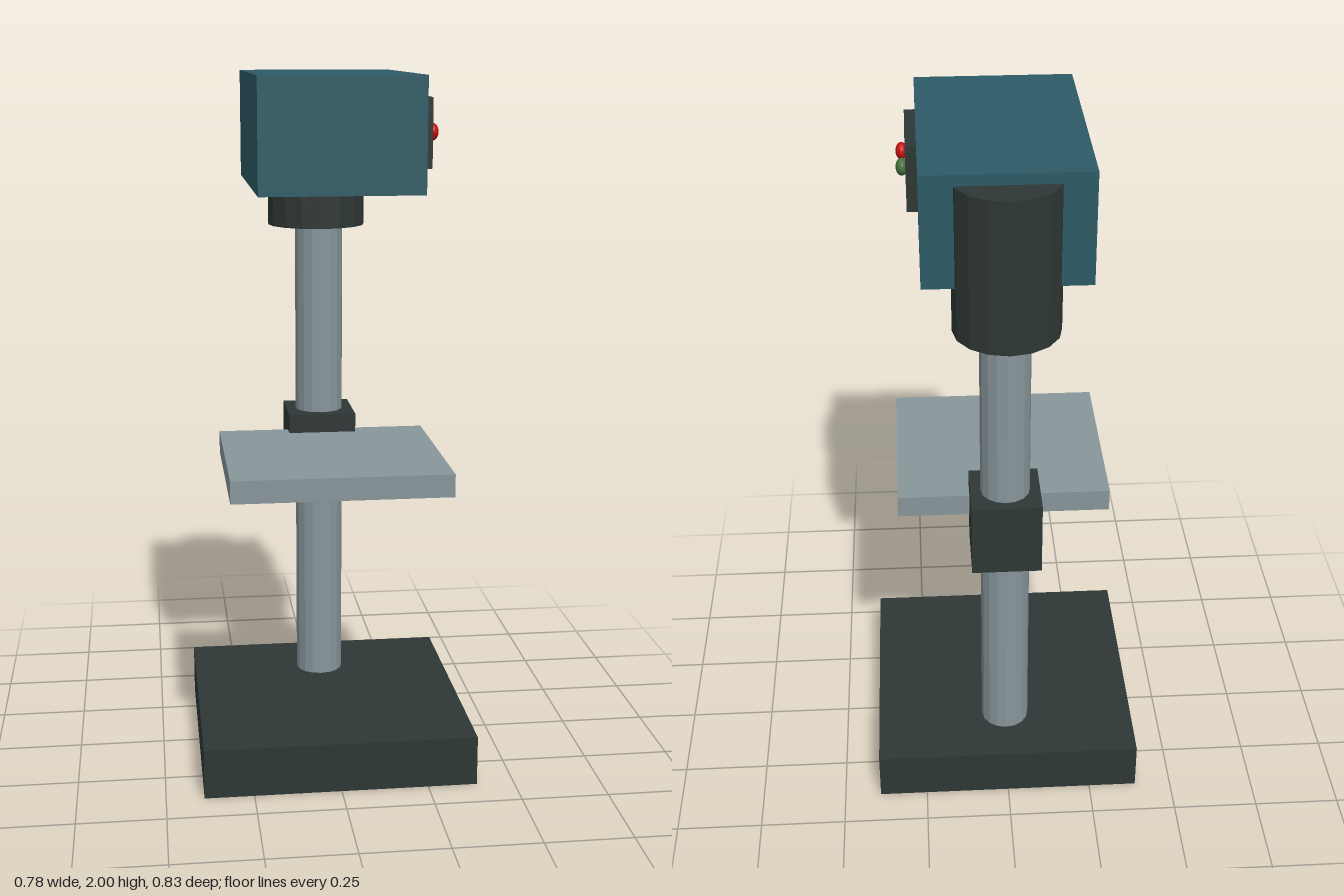
import * as THREE from 'three';

const material = (name, color, flatShading = false) => {
  const m = new THREE.MeshStandardMaterial({ color, flatShading });
  m.name = name;
  return m;
};

export function createModel() {
  const model = new THREE.Group();
  model.name = 'drillPress';

  const castIron = material('castIron', 0x2e3735, true);
  const steel = material('steel', 0x87959a, true);
  const teal = material('tealPaint', 0x2d5b66, true);
  const red = material('redButton', 0xc81010);
  const green = material('greenButton', 0x44703c);

  const add = (name, geometry, mat, x, y, z) => {
    const mesh = new THREE.Mesh(geometry, mat);
    mesh.name = name;
    mesh.position.set(x, y, z);
    model.add(mesh);
    return mesh;
  };

  // Box given by its lower and upper corners
  const box = (name, mat, [x0, y0, z0], [x1, y1, z1]) =>
    add(name, new THREE.BoxGeometry(x1 - x0, y1 - y0, z1 - z0), mat,
      (x0 + x1) / 2, (y0 + y1) / 2, (z0 + z1) / 2);

  // Upright cylinder from y0 to y1
  const post = (name, mat, radius, y0, y1, z) =>
    add(name, new THREE.CylinderGeometry(radius, radius, y1 - y0, 16), mat, 0, (y0 + y1) / 2, z);

  // Stand
  box('base', castIron, [-0.392, 0, -0.392], [0.392, 0.145, 0.392]);
  post('column', steel, 0.071, 0.14, 1.6, -0.2);

  // Work table and the collar that clamps it to the column
  box('tableCollar', castIron, [-0.1, 0.77, -0.3], [0.1, 0.99, -0.1]);
  box('workTable', steel, [-0.308, 0.87, -0.148], [0.308, 0.935, 0.412]);

  // Head and motor
  box('head', teal, [-0.223, 1.69, -0.315], [0.223, 2, 0.38]);
  post('motor', castIron, 0.145, 1.545, 1.97, -0.27);

  // Switch panel on the side of the head
  box('switchPanel', castIron, [0.22, 1.752, 0.022], [0.253, 1.94, 0.29]);
  for (const [name, mat, z] of [['stopButton', red, 0.223], ['startButton', green, 0.111]]) {
    const button = add(name, new THREE.SphereGeometry(0.024, 20, 14), mat, 0.263, 1.846, z);
    button.scale.x = 0.7;
  }

  return model;
}
